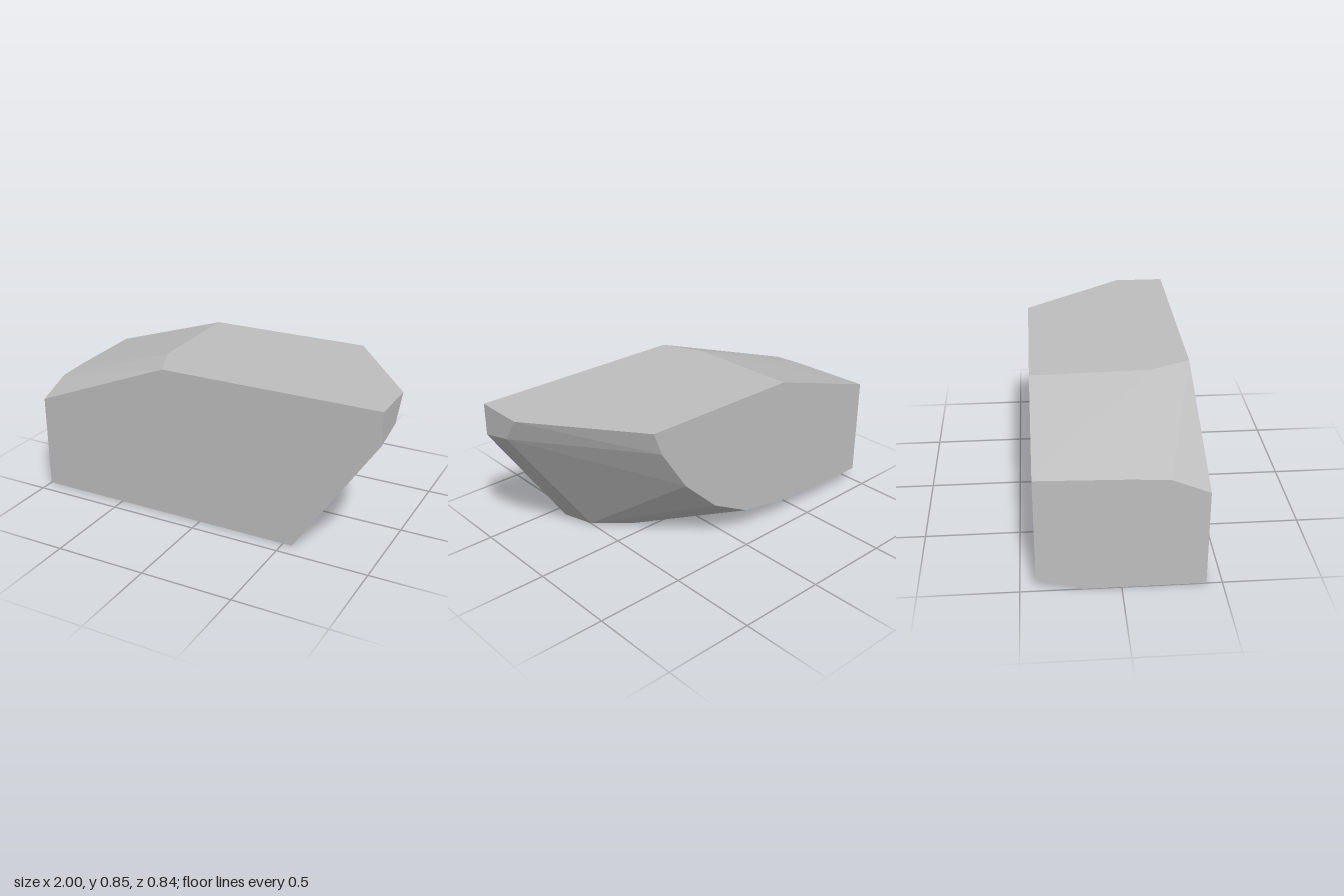
import * as THREE from 'three';
import { ConvexGeometry } from 'three/addons/geometries/ConvexGeometry.js';

const FRONT = 0.42, BACK = -0.42, TOP = 0.845;

// Outline of the flat front face (x, y)
const frontOutline = [[-1, 0], [0.55, 0], [1, 0.67], [1, TOP], [-0.21, TOP], [-1, 0.53]];

// Outline of the flat back face, with its rounded lower edge (x, y)
const backOutline = [
  [-1, 0.075], [-0.65, 0.08], [-0.34, 0.105], [-0.07, 0.155], [0.165, 0.28],
  [0.375, 0.48], [0.53, 0.715], [0.58, TOP], [-0.33, TOP], [-1, 0.635],
];

// Rear edge of the flat underside (x, z)
const undersideEdge = [[0.5, 0.245], [0.31, 0.08], [-0.345, -0.16], [-0.67, -0.185], [-1, -0.19]];

// Remaining corners of the two ends and the sloped top
const endCorners = [
  [1, 0.715, 0.23], [1, TOP, 0.14],
  [-0.31, TOP, 0.2], [-1, 0.61, 0.23], [-1, 0.622, 0.04],
];

export function createModel() {
  const stone = new THREE.MeshStandardMaterial({ color: 0xbebebe });
  stone.name = 'stone grey';

  const corners = [
    ...frontOutline.map(([x, y]) => new THREE.Vector3(x, y, FRONT)),
    ...backOutline.map(([x, y]) => new THREE.Vector3(x, y, BACK)),
    ...undersideEdge.map(([x, z]) => new THREE.Vector3(x, 0, z)),
    ...endCorners.map((c) => new THREE.Vector3(...c)),
  ];

  // One faceted solid spanning all the outlines
  const chunk = new THREE.Mesh(new ConvexGeometry(corners), stone);
  chunk.name = 'stoneChunk';

  const model = new THREE.Group();
  model.name = 'brokenStone';
  model.add(chunk);
  return model;
}
